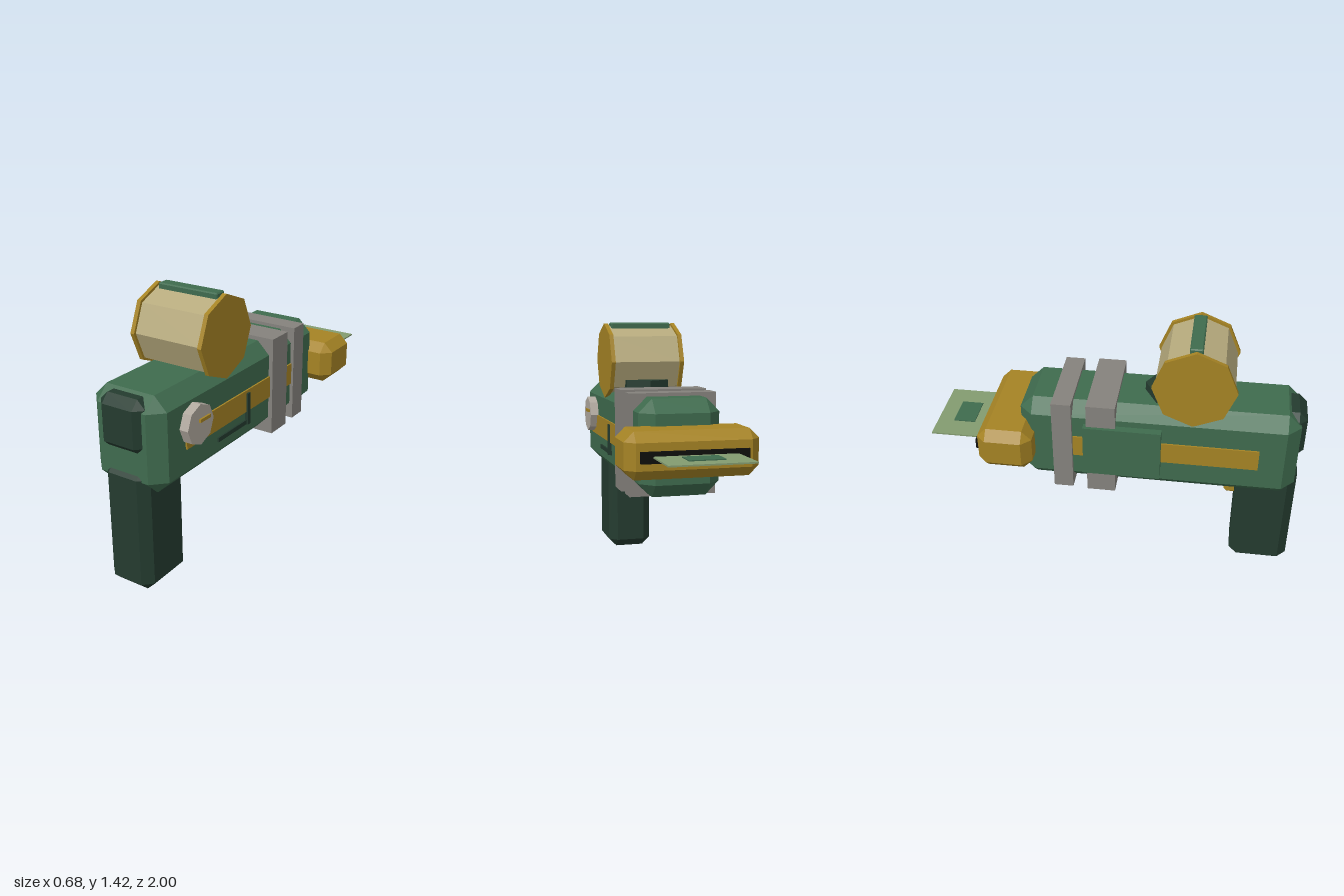
import * as THREE from 'three';
import { ConvexGeometry } from 'three/addons/geometries/ConvexGeometry.js';

const mat = (name, color) => {
  const m = new THREE.MeshStandardMaterial({ color, flatShading: true });
  m.name = name;
  return m;
};

export function createModel() {
  const green = mat('body green', 0x3f6b4e);
  const dark = mat('dark green', 0x243b2f);
  const gold = mat('ochre gold', 0xa58324);
  const beige = mat('beige', 0xb6aa7d);
  const grey = mat('band grey', 0x85827d);
  const pale = mat('pale grey', 0xb0a89e);
  const black = mat('black', 0x0e0e0c);
  const paper = mat('paper green', 0x839b70);

  const model = new THREE.Group();
  model.name = 'toyBlaster';
  const add = (name, geometry, material) => {
    const mesh = new THREE.Mesh(geometry, material);
    mesh.name = name;
    model.add(mesh);
    return mesh;
  };

  // Plain box given by its extents
  const box = (name, m, [x0, x1], [y0, y1], [z0, z1]) =>
    add(name, new THREE.BoxGeometry(x1 - x0, y1 - y0, z1 - z0), m)
      .position.set((x0 + x1) / 2, (y0 + y1) / 2, (z0 + z1) / 2);

  // Box with every edge and corner cut at bevel c
  const bevelBox = (name, m, [x0, x1], [y0, y1], [z0, z1], c) => {
    const h = [(x1 - x0) / 2, (y1 - y0) / 2, (z1 - z0) / 2];
    const points = [];
    for (const sx of [-1, 1]) for (const sy of [-1, 1]) for (const sz of [-1, 1])
      for (let outer = 0; outer < 3; outer++) {
        const p = [sx, sy, sz].map((s, i) => s * (i === outer ? h[i] : h[i] - c));
        points.push(new THREE.Vector3(...p));
      }
    add(name, new ConvexGeometry(points), m)
      .position.set((x0 + x1) / 2, (y0 + y1) / 2, (z0 + z1) / 2);
  };

  // Octagonal prism lying along x
  const octagon = (name, m, r, [x0, x1], y, z) => {
    const g = new THREE.CylinderGeometry(r, r, x1 - x0, 8).rotateZ(Math.PI / 2);
    add(name, g, m).position.set((x0 + x1) / 2, y, z);
  };

  // Body, rear cap, grip and trigger
  bevelBox('body', green, [-0.213, 0.213], [0.553, 1.055], [-0.51, 0.97], 0.071);
  bevelBox('rearCap', dark, [-0.133, 0.133], [0.76, 1.042], [0.86, 1.0], 0.045);
  bevelBox('grip', dark, [-0.133, 0.133], [0.003, 0.682], [0.66, 0.988], 0.048);
  bevelBox('trigger', gold, [-0.04, 0.04], [0.42, 0.62], [0.6, 0.69], 0.018);

  // Side stripes
  for (const s of [-1, 1])
    box(s > 0 ? 'leftStripe' : 'rightStripe', gold,
      s > 0 ? [0.2, 0.222] : [-0.222, -0.2], [0.745, 0.865], [-0.22, 0.765]);
  box('sidePanel', green, [-0.255, -0.2], [0.655, 0.95], [-0.16, 0.252]);

  // Clamp bands
  box('wideBand', grey, [-0.237, 0.237], [0.53, 1.077], [-0.143, 0.01]);
  box('narrowBand', grey, [-0.233, 0.233], [0.535, 1.073], [-0.327, -0.222]);

  // Drum on its mount
  add('drumMount', new THREE.CylinderGeometry(0.14, 0.14, 0.08, 6), dark)
    .position.set(0, 1.062, 0.283);
  octagon('drum', beige, 0.204, [-0.195, 0.195], 1.206, 0.41);
  octagon('leftDrumDisc', gold, 0.218, [0.19, 0.213], 1.206, 0.41);
  octagon('rightDrumDisc', gold, 0.218, [-0.213, -0.19], 1.206, 0.41);
  bevelBox('drumStrip', green, [-0.177, 0.177], [1.385, 1.427], [0.373, 0.441], 0.006);

  // Dial with pointer
  octagon('dial', pale, 0.105, [0.2, 0.262], 0.865, 0.705);
  box('dialPointer', gold, [0.25, 0.272], [0.88, 0.897], [0.636, 0.72]);

  // Lever in its slot
  box('leverSlot', dark, [0.2, 0.222], [0.674, 0.698], [0.205, 0.5]);
  box('lever', dark, [0.205, 0.232], [0.674, 0.85], [0.22, 0.244]);

  // Dispenser head with slit, note and printed patch
  bevelBox('head', gold, [-0.341, 0.341], [0.688, 0.923], [-0.72, -0.427], 0.05);
  box('slit', black, [-0.272, 0.272], [0.775, 0.832], [-0.738, -0.71]);
  box('note', paper, [-0.213, 0.213], [0.802, 0.81], [-1.0, -0.71]);
  box('notePatch', green, [-0.09, 0.09], [0.809, 0.815], [-0.91, -0.793]);

  return model;
}
